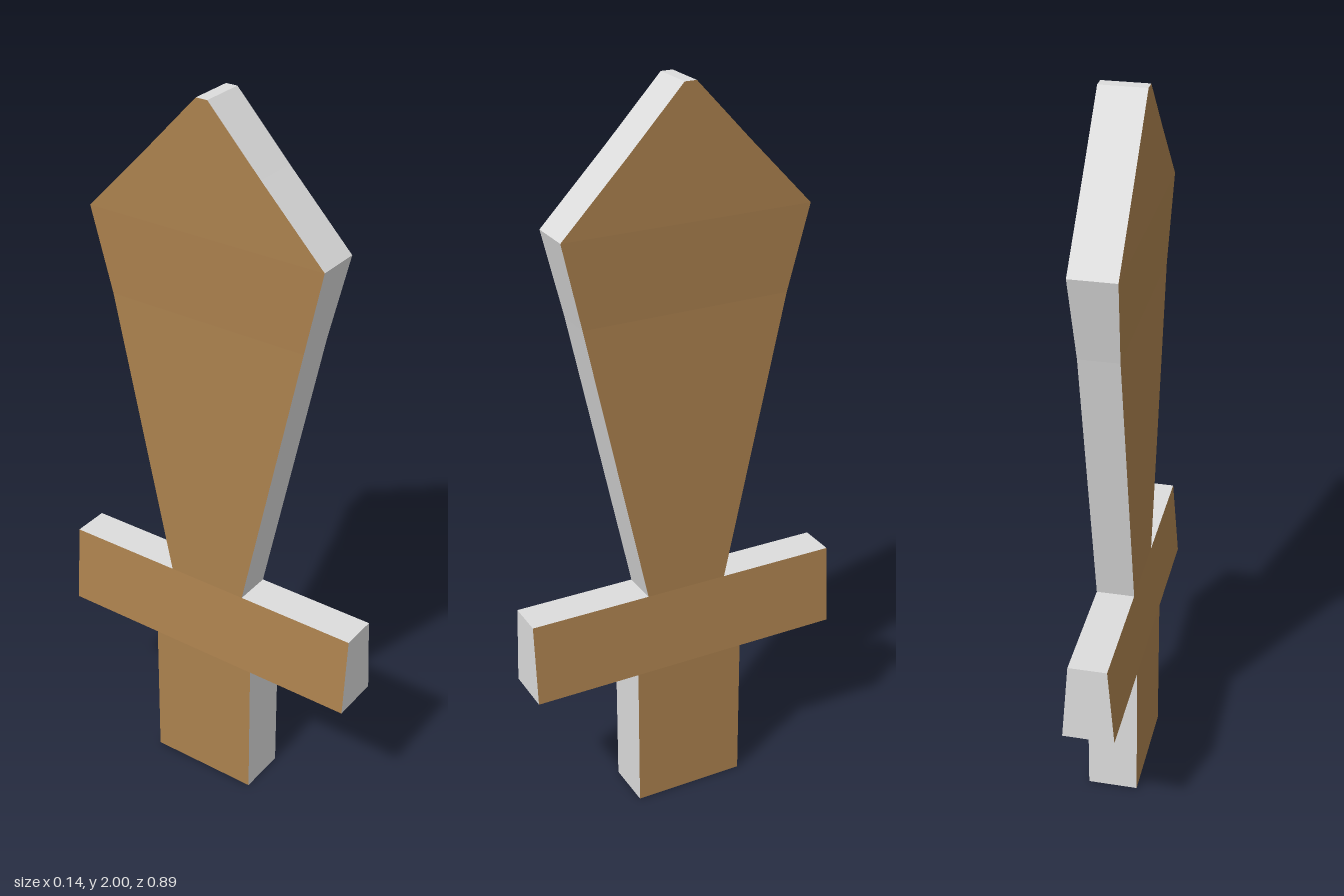
import * as THREE from 'three';

const wood = new THREE.MeshStandardMaterial({ color: 0xab814e });
wood.name = 'wood brown';
const edge = new THREE.MeshStandardMaterial({ color: 0xdcdcdc });
edge.name = 'pale grey edge';

// Stacks four-cornered levels [y, zFront, zBack, halfThickness]:
// grey on the narrow edges and caps, brown on the two broad faces.
function slab(name, levels, capBottom, capTop) {
  const grey = [], brown = [];
  const quad = (list, a, b, c, d) => list.push(...a, ...b, ...c, ...a, ...c, ...d);
  const rings = levels.map(([y, front, back, h]) =>
    [[-h, y, front], [h, y, front], [h, y, back], [-h, y, back]]);

  for (let k = 0; k < rings.length - 1; k++) {
    const low = rings[k], high = rings[k + 1];
    for (let i = 0; i < 4; i++) {
      const j = (i + 1) % 4;
      quad(i % 2 ? brown : grey, low[i], low[j], high[j], high[i]);
    }
  }
  if (capBottom) quad(grey, ...[...rings[0]].reverse());
  if (capTop) quad(grey, ...rings[rings.length - 1]);

  const geometry = new THREE.BufferGeometry();
  geometry.setAttribute('position', new THREE.Float32BufferAttribute([...grey, ...brown], 3));
  geometry.addGroup(0, grey.length / 3, 0);
  geometry.addGroup(grey.length / 3, brown.length / 3, 1);
  geometry.computeVertexNormals(); // unshared corners keep every face flat
  const mesh = new THREE.Mesh(geometry, [edge, wood]);
  mesh.name = name;
  return mesh;
}

export function createModel() {
  const sword = new THREE.Group();
  sword.name = 'woodenSword';

  // Straight grip
  sword.add(slab('grip', [
    [0, 0.155, -0.16, 0.069],
    [0.415, 0.155, -0.16, 0.069],
  ], true, false));

  // Crossguard, thinner towards the blade
  sword.add(slab('crossguard', [
    [0.415, 0.447, -0.447, 0.069],
    [0.64, 0.447, -0.447, 0.051],
  ], true, true));

  // Blade widening upwards, then closing to a blunt tip
  sword.add(slab('blade', [
    [0.64, 0.113, -0.117, 0.051],
    [1.43, 0.284, -0.288, 0.052],
    [1.66, 0.338, -0.345, 0.06],
    [1.843, 0.16, -0.168, 0.06],
    [2, 0.012, -0.02, 0.06],
  ], false, true));

  return sword;
}
